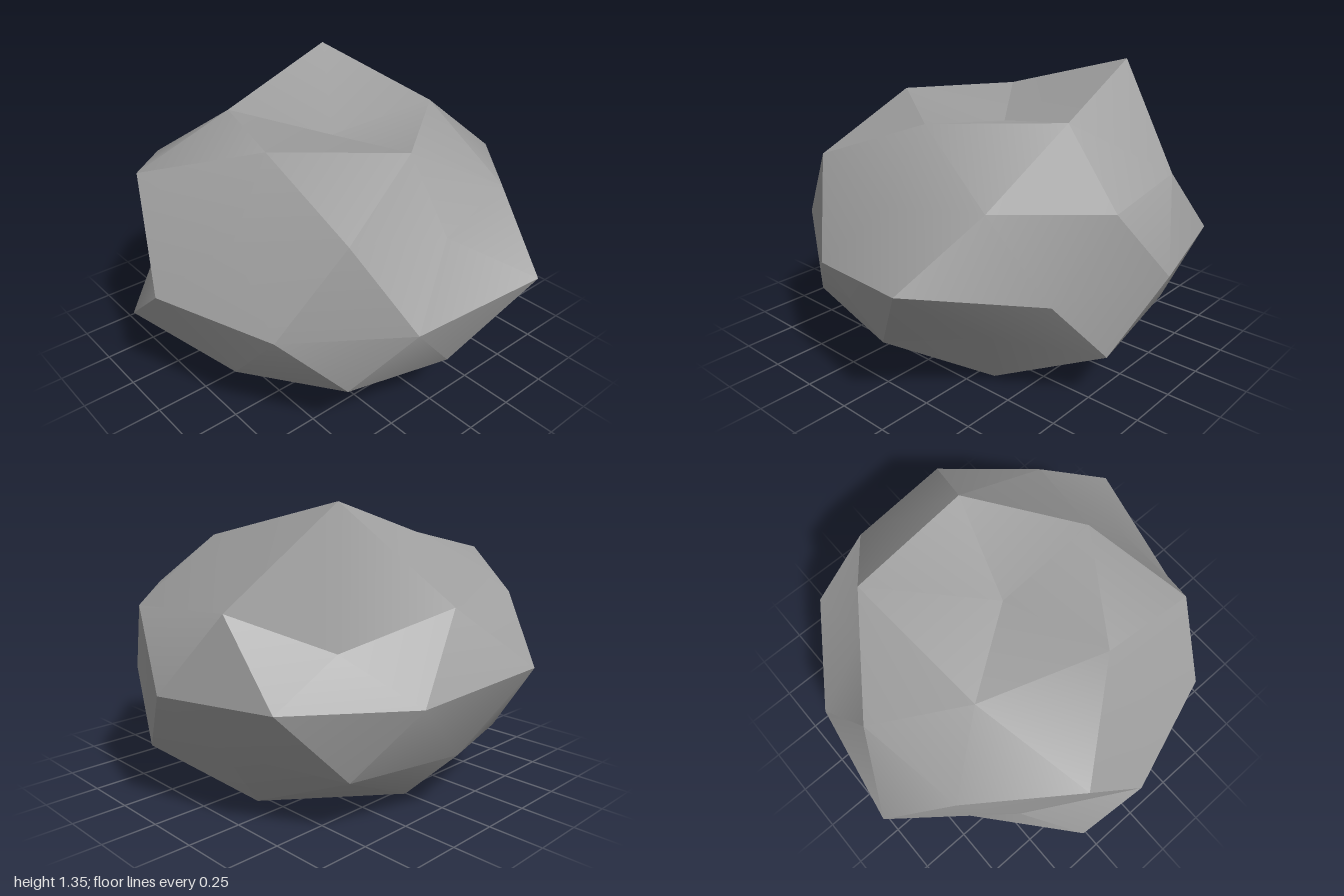
import * as THREE from 'three';
import { toCreasedNormals } from 'three/addons/utils/BufferGeometryUtils.js';

// Cross-sections of the boulder, top to bottom; each runs from +x towards +z
const TOP = [[0, 1.08, -0.04]];
const CROWN = [[0.51, 1.16, -0.04], [0.16, 1.19, 0.46], [-0.41, 1.16, 0.26], [-0.48, 1.35, -0.39], [0.16, 1.18, -0.53]];
const SHOULDER = [
  [0.74, 0.85, -0.04], [0.68, 0.97, 0.46], [0.23, 0.88, 0.69], [-0.28, 1.05, 0.83], [-0.72, 0.91, 0.49],
  [-0.81, 0.92, -0.04], [-0.55, 0.75, -0.46], [-0.25, 0.92, -0.8], [0.27, 0.89, -0.86], [0.65, 0.91, -0.51],
];
const WAIST = [
  [0.88, 0.56, 0.25], [0.57, 0.59, 0.75], [0, 0.6, 0.95], [-0.5, 0.52, 0.66], [-1, 0.64, 0.28],
  [-0.9, 0.57, -0.33], [-0.57, 0.58, -0.82], [0, 0.56, -0.96], [0.52, 0.54, -0.74], [1, 0.64, -0.36],
];
const BELLY = [
  [0.8, 0.24, -0.04], [0.72, 0.3, 0.49], [0.26, 0.25, 0.74], [-0.31, 0.34, 0.92], [-0.69, 0.26, 0.46],
  [-0.85, 0.29, -0.04], [-0.69, 0.26, -0.53], [-0.23, 0.33, -0.8], [0.26, 0.24, -0.84], [0.6, 0.34, -0.47],
];
const FOOT = [[0.42, 0.02, 0.26], [-0.14, 0.02, 0.4], [-0.57, 0.02, -0.04], [-0.16, 0.02, -0.57], [0.42, 0.02, -0.35]];
const BASE = [[0, 0, -0.04]];

function boulderGeometry() {
  const positions = [];
  const at = (ring, i) => ring[(i + ring.length) % ring.length];
  const tri = (a, b, c) => positions.push(...a, ...b, ...c);

  // Caps and the five-to-ten strips next to them
  for (let k = 0; k < 5; k++) {
    const c = CROWN[k], cNext = at(CROWN, k + 1);
    tri(TOP[0], cNext, c);
    tri(c, cNext, at(SHOULDER, 2 * k + 1));
    tri(c, at(SHOULDER, 2 * k + 1), at(SHOULDER, 2 * k));
    tri(c, at(SHOULDER, 2 * k), at(SHOULDER, 2 * k - 1));

    const f = FOOT[k], fNext = at(FOOT, k + 1);
    tri(at(BELLY, 2 * k), at(BELLY, 2 * k + 1), f);
    tri(at(BELLY, 2 * k + 1), at(BELLY, 2 * k + 2), f);
    tri(at(BELLY, 2 * k + 2), fNext, f);
    tri(f, fNext, BASE[0]);
  }
  // Zigzag strips around the middle
  for (let j = 0; j < 10; j++) {
    tri(at(SHOULDER, j), at(SHOULDER, j + 1), at(WAIST, j));
    tri(at(SHOULDER, j), at(WAIST, j), at(WAIST, j - 1));
    tri(at(WAIST, j), at(WAIST, j + 1), at(BELLY, j + 1));
    tri(at(WAIST, j), at(BELLY, j + 1), at(BELLY, j));
  }

  const geometry = new THREE.BufferGeometry();
  geometry.setAttribute('position', new THREE.Float32BufferAttribute(positions, 3));
  return toCreasedNormals(geometry, Math.PI / 6);
}

export function createModel() {
  const stone = new THREE.MeshStandardMaterial({ color: 0x9f9f9f });
  stone.name = 'stone grey';

  const boulder = new THREE.Mesh(boulderGeometry(), stone);
  boulder.name = 'boulder';

  const group = new THREE.Group();
  group.name = 'rock';
  group.add(boulder);
  return group;
}
